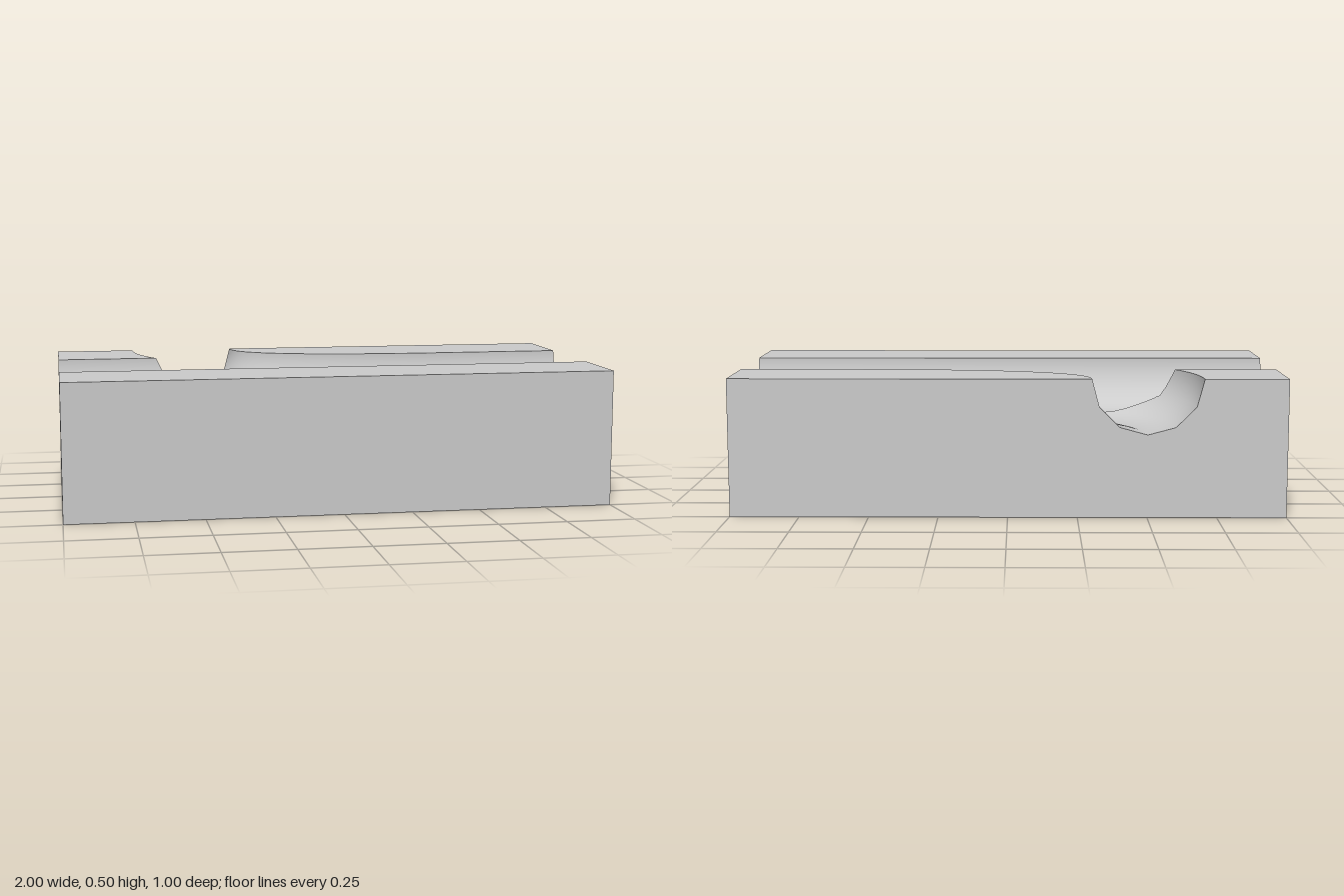
import * as THREE from 'three';
import { mergeGeometries } from 'three/addons/utils/BufferGeometryUtils.js';

const TOP = 0.5, R = 0.2, SUB = 4;

// Half of a twelve-sided round: offset from the centre line and height
const corners = [];
for (let i = 0; i <= 6; i++) {
  const a = (i / 6) * Math.PI;
  corners.push({ s: R * Math.cos(a), y: TOP - R * Math.sin(a) });
}

// Groove height at a distance from its centre line (continues steeply past the rim)
function profileHeight(d) {
  let i = 0;
  while (i < 2 && d < corners[i + 1].s) i++;
  const a = corners[i], b = corners[i + 1];
  return a.y + ((d - a.s) * (b.y - a.y)) / (b.s - a.s);
}

// Branch centre line in plan (x, z), with its sideways direction
const curve = new THREE.QuadraticBezierCurve(
  new THREE.Vector2(-0.5, -0.5), new THREE.Vector2(-0.5, 0), new THREE.Vector2(0.5, 0));
const station = (p, t) => ({ x: p.x, z: p.y, nx: t.y, nz: -t.x });
const branchPath = [], mainPath = [];
for (let i = 0; i <= 64; i++) branchPath.push(station(curve.getPoint(i / 64), curve.getTangent(i / 64)));
for (let i = 0; i <= 100; i++) mainPath.push({ x: -1 + i / 50, z: 0, nx: 0, nz: -1 });

const mainHeight = (x, z) => profileHeight(Math.abs(z));
const line = [...branchPath, { x: 1, z: 0 }];
function branchHeight(x, z) {
  let best = Infinity;
  for (let i = 0; i + 1 < line.length; i++) {
    const a = line[i], dx = line[i + 1].x - a.x, dz = line[i + 1].z - a.z;
    const t = THREE.MathUtils.clamp(((x - a.x) * dx + (z - a.z) * dz) / (dx * dx + dz * dz), 0, 1);
    best = Math.min(best, Math.hypot(x - a.x - t * dx, z - a.z - t * dz));
  }
  return profileHeight(best);
}

// Sweep the profile along a path, trimming what lies inside the other groove
function groove(path, otherHeight) {
  const rows = path.map((c) => {
    const row = [];
    for (let k = 0; k <= 6 * SUB; k++) {
      const i = Math.min(5, Math.floor(k / SUB)), f = k / SUB - i;
      const s = THREE.MathUtils.lerp(corners[i].s, corners[i + 1].s, f);
      const y = THREE.MathUtils.lerp(corners[i].y, corners[i + 1].y, f);
      const p = new THREE.Vector3(c.x + c.nx * s, y, c.z + c.nz * s);
      const n = new THREE.Vector3(-c.nx * s, TOP - y, -c.nz * s).normalize();
      row.push({ p, n, f: y - otherHeight(p.x, p.z) - 1e-5 });
    }
    return row;
  });
  const pos = [], nor = [];
  const mix = (a, b) => {
    const t = a.f / (a.f - b.f);
    return { p: a.p.clone().lerp(b.p, t), n: a.n.clone().lerp(b.n, t).normalize() };
  };
  const addTriangle = (tri) => {
    const poly = [];
    tri.forEach((a, i) => {
      const b = tri[(i + 1) % 3];
      if (a.f <= 0) poly.push(a);
      if (a.f <= 0 !== b.f <= 0) poly.push(mix(a, b));
    });
    for (let i = 1; i + 1 < poly.length; i++) {
      let [a, b, c] = [poly[0], poly[i], poly[i + 1]];
      const up = b.p.clone().sub(a.p).cross(c.p.clone().sub(a.p)).y;
      if (up < 0) [b, c] = [c, b];
      for (const v of [a, b, c]) {
        pos.push(v.p.x, v.p.y, v.p.z);
        nor.push(v.n.x, v.n.y, v.n.z);
      }
    }
  };
  for (let i = 0; i + 1 < rows.length; i++) {
    for (let k = 0; k < 6 * SUB; k++) {
      const a = rows[i][k], b = rows[i + 1][k], c = rows[i + 1][k + 1], d = rows[i][k + 1];
      addTriangle([a, b, c]);
      addTriangle([a, c, d]);
    }
  }
  const g = new THREE.BufferGeometry();
  g.setAttribute('position', new THREE.Float32BufferAttribute(pos, 3));
  g.setAttribute('normal', new THREE.Float32BufferAttribute(nor, 3));
  return g;
}

const flat = (pts) => new THREE.ShapeGeometry(new THREE.Shape(pts.map(([x, y]) => new THREE.Vector2(x, y))));

// Upright wall with a groove-shaped notch centred at u
const notchedWall = (half, u) => flat([
  [-half, 0], [half, 0], [half, TOP], ...corners.map((c) => [u + c.s, c.y]), [-half, TOP]]);

// Flat top piece from plan points (x, z)
const land = (pts) => flat(pts.map(([x, z]) => [x, -z])).rotateX(-Math.PI / 2).translate(0, TOP, 0);

export function createModel() {
  const group = new THREE.Group();
  const material = new THREE.MeshStandardMaterial({ color: 0xcccccc });
  const add = (name, geometry) => {
    const mesh = new THREE.Mesh(geometry, material);
    mesh.name = name;
    group.add(mesh);
  };

  // Outer walls and underside
  add('blockWalls', mergeGeometries([
    new THREE.PlaneGeometry(2, TOP).translate(0, TOP / 2, 0.5),
    new THREE.PlaneGeometry(2, 1).rotateX(Math.PI / 2),
    notchedWall(0.5, 0).rotateY(Math.PI / 2).translate(1, 0, 0),
    notchedWall(0.5, 0).rotateY(-Math.PI / 2).translate(-1, 0, 0),
    notchedWall(1, 0.5).rotateY(Math.PI).translate(0, 0, -0.5),
  ]));

  // Flat tops beside the grooves
  const rim = (side) => branchPath.map((c) => [c.x + side * R * c.nx, c.z + side * R * c.nz]);
  const outer = rim(-1);
  const cut = outer.findIndex(([, z]) => z > -R);
  const [a, b] = [outer[cut - 1], outer[cut]];
  const t = (-R - a[1]) / (b[1] - a[1]);
  add('frontTop', land([[-1, 0.5], [1, 0.5], [1, R], [-1, R]]));
  add('backRightTop', land([[-1, -0.5], [-1, -R], [a[0] + t * (b[0] - a[0]), -R], ...outer.slice(0, cut).reverse()]));
  add('backLeftTop', land([...rim(1), [1, -R], [1, -0.5]]));

  // Straight channel and the curved channel that joins it
  add('mainGroove', groove(mainPath, branchHeight));
  add('branchGroove', groove(branchPath, mainHeight));
  return group;
}
